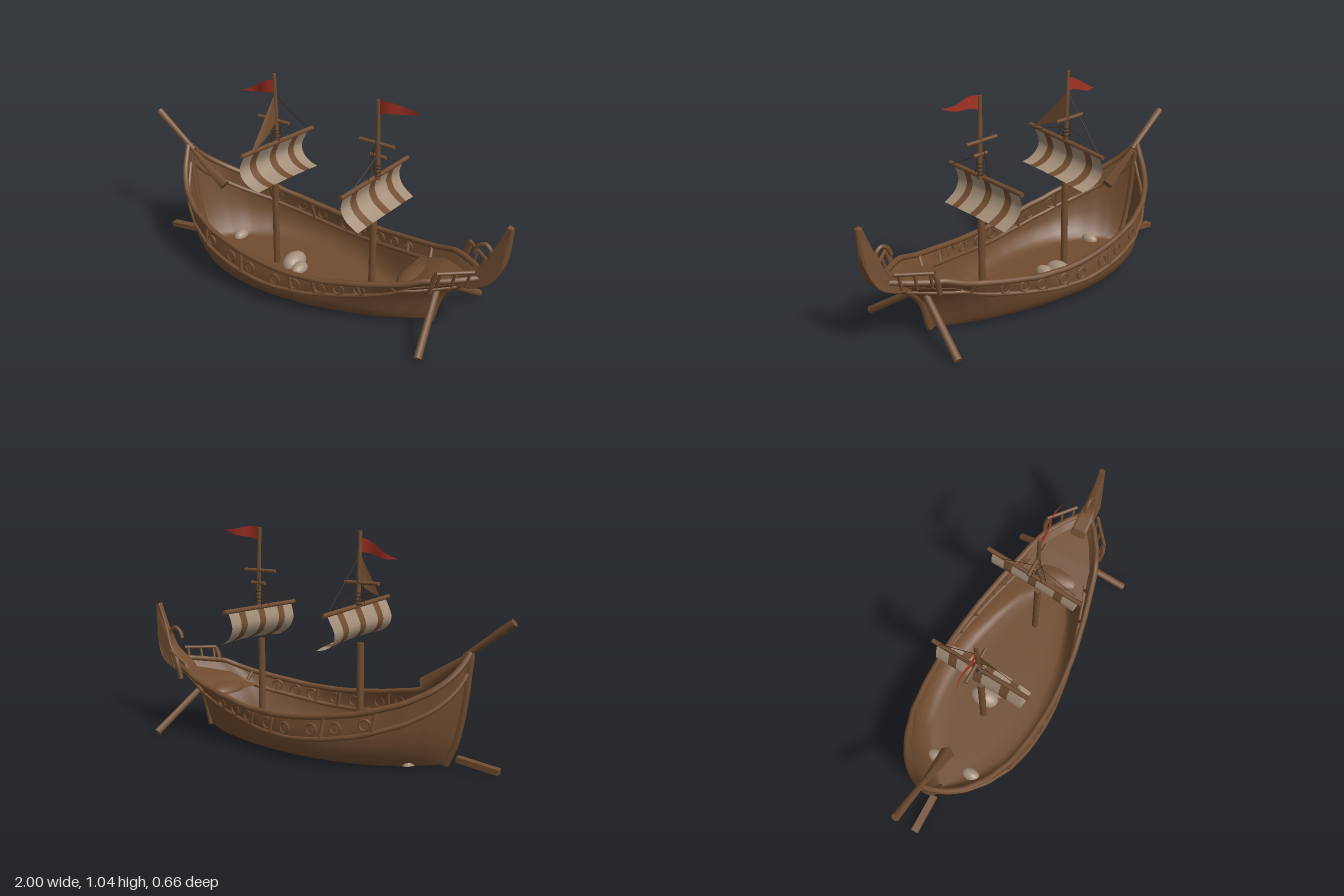
import * as THREE from 'three';

const V = (x, y, z) => new THREE.Vector3(x, y, z);
const mat = (name, color) => {
  const m = new THREE.MeshStandardMaterial({ color, side: THREE.DoubleSide });
  m.name = name;
  return m;
};

// piecewise linear lookup in [[x, y], ...]
function look(table, x) {
  if (x <= table[0][0]) return table[0][1];
  for (let i = 1; i < table.length; i++) {
    const [x0, y0] = table[i - 1], [x1, y1] = table[i];
    if (x <= x1) return y0 + (y1 - y0) * (x - x0) / (x1 - x0);
  }
  return table[table.length - 1][1];
}

// grid surface from a point rule f(u, v)
function loft(f, nu, nv) {
  const pos = [], idx = [];
  for (let i = 0; i <= nu; i++) for (let j = 0; j <= nv; j++) pos.push(...f(i / nu, j / nv).toArray());
  for (let i = 0; i < nu; i++) for (let j = 0; j < nv; j++) {
    const a = i * (nv + 1) + j, b = a + nv + 1;
    idx.push(a, a + 1, b, b, a + 1, b + 1);
  }
  const g = new THREE.BufferGeometry();
  g.setAttribute('position', new THREE.Float32BufferAttribute(pos, 3));
  g.setIndex(idx);
  g.computeVertexNormals();
  return g;
}

// hull lines: sheer height, plan half width, stem and stern ends, section fullness
const SHEER = [[-0.8, 0.53], [-0.78, 0.475], [-0.75, 0.425], [-0.7, 0.378], [-0.6, 0.322], [-0.5, 0.29], [-0.4, 0.26], [-0.2, 0.225],
  [0, 0.205], [0.2, 0.213], [0.4, 0.245], [0.57, 0.28], [0.66, 0.315], [0.88, 0.335]];
const WIDTH = [[-0.8, 0.008], [-0.78, 0.05], [-0.75, 0.1], [-0.7, 0.155], [-0.6, 0.222], [-0.45, 0.277], [-0.3, 0.3], [-0.15, 0.31],
  [0, 0.308], [0.2, 0.285], [0.4, 0.242], [0.6, 0.187], [0.7, 0.145], [0.8, 0.08], [0.88, 0.01]];
const BOW = [[0, -0.69], [0.2, -0.735], [0.5, -0.77], [1, -0.8]];
const STERN = [[0, 0.635], [0.5, 0.685], [0.75, 0.77], [1, 0.88]];
const FULL = [[0, 0.74], [0.04, 0.835], [0.12, 0.91], [0.24, 0.975], [0.4, 1.02], [0.6, 1.03], [0.8, 1.01], [1, 0.98]];
const SECTION = [[0, 0], [0, 0.55], ...FULL.map(([v]) => [v, 1])];

function hullPoint(x, v, s = 1) {
  const u = (x + 0.8) / 1.68;
  const pinch = 1 - 0.5 * (1 - v) * Math.abs(2 * u - 1) ** 4;
  const x0 = look(BOW, v), x1 = look(STERN, v);
  return V(x0 + (x1 - x0) * u, 0.012 + (look(SHEER, x) - 0.012) * v, s * look(WIDTH, x) * look(FULL, v) * pinch);
}
// point on the side at a given drop below the sheer, by station
function sidePoint(x, drop, s) {
  const h = look(SHEER, x) - 0.012;
  return hullPoint(x, Math.max(0, (h - drop) / h), s);
}
// the same, by true x
function sideAt(x, drop, s) {
  let station = x;
  for (let i = 0; i < 8; i++) station += x - sidePoint(station, drop, s).x;
  return sidePoint(station, drop, s);
}

export function createModel() {
  const wood = mat('wood', 0x704c30), cloth = mat('sailCloth', 0xa48f79);
  const red = mat('flagRed', 0xa33124), rope = mat('rope', 0x3f2b1c);
  const ship = new THREE.Group();
  ship.name = 'ship';

  const add = (name, geo, m = wood, parent = ship) => {
    const mesh = new THREE.Mesh(geo, m);
    mesh.name = name;
    parent.add(mesh);
    return mesh;
  };
  const beam = (name, a, b, r0, r1 = r0, m = wood, parent = ship, sides = 10) => {
    const d = b.clone().sub(a);
    const mesh = add(name, new THREE.CylinderGeometry(r1, r0, d.length(), sides), m, parent);
    mesh.position.copy(a).addScaledVector(d, 0.5);
    mesh.quaternion.setFromUnitVectors(V(0, 1, 0), d.normalize());
    return mesh;
  };
  const tube = (name, pts, r, n = 40) =>
    add(name, new THREE.TubeGeometry(new THREE.CatmullRomCurve3(pts), n, r, 8));

  // hull shell, open at the top
  const ring = [...SECTION].reverse().map(([v, f]) => [v, f, 1])
    .concat(SECTION.slice(1).map(([v, f]) => [v, f, -1]));
  add('hull', loft((u, w) => {
    const [v, f, s] = ring[Math.round(w * (ring.length - 1))];
    const p = hullPoint(-0.8 + 0.84 * (1 - Math.cos(Math.PI * u)), v, s);
    p.z *= f;
    return p;
  }, 64, ring.length - 1));

  // rails, wales, posts and portholes on both sides
  const along = Array.from({ length: 31 }, (_, i) => -0.8 + 0.84 * (1 - Math.cos(Math.PI * i / 30)));
  for (const s of [1, -1]) {
    tube('topRail', along.map(x => sidePoint(x, 0, s)), 0.014, 90);
    tube('wale', along.map(x => sidePoint(x, 0.092, s)), 0.011, 90);
    for (const x of [-0.48, -0.24, 0.04, 0.16, 0.37, 0.52])
      beam('sidePost', sideAt(x, 0, s), sideAt(x + 0.012, 0.092, s), 0.01);
    for (const x of [-0.435, -0.3, -0.18, -0.035, 0.07, 0.195, 0.285, 0.38]) {
      const hole = add('porthole', new THREE.TorusGeometry(0.025, 0.006, 6, 18));
      hole.position.copy(sideAt(x, 0.05, s));
      hole.rotation.y = -Math.atan((sideAt(x + 0.05, 0.05, s).z - sideAt(x - 0.05, 0.05, s).z) / 0.1);
    }
  }
  tube('stemPost', [0, 0.2, 0.5, 1].map(v => hullPoint(-0.8, v, 0)), 0.018, 16);
  tube('sternPost', [0, 0.5, 0.75, 1].map(v => hullPoint(0.88, v, 0)), 0.018, 16);

  // stern deck and step
  add('sternDeck', loft((u, w) => {
    const p = sidePoint(0.52 + 0.35 * u, 0.035, 1);
    p.z *= 2 * w - 1;
    p.y -= 0.03 * (1 - u);
    return p;
  }, 10, 6));
  const step = add('sternStep', new THREE.SphereGeometry(0.1, 16, 8, 0, Math.PI * 2, 0, Math.PI / 2));
  step.scale.set(0.7, 0.45, 1.3);
  step.position.set(0.54, 0.2, 0);

  // curled tail fin with a heavy back edge
  const fin = new THREE.Shape();
  fin.moveTo(0.74, 0.26);
  fin.splineThru([[0.84, 0.28], [0.925, 0.335], [0.975, 0.45], [0.987, 0.61]].map(p => new THREE.Vector2(...p)));
  fin.lineTo(0.972, 0.615);
  fin.splineThru([[0.912, 0.47], [0.87, 0.385], [0.78, 0.32]].map(p => new THREE.Vector2(...p)));
  const finGeo = new THREE.ExtrudeGeometry(fin, { depth: 0.02, bevelSize: 0.004, bevelThickness: 0.004, bevelSegments: 2, curveSegments: 14 });
  finGeo.translate(0, 0, -0.01);
  const fp = finGeo.attributes.position;
  for (let i = 0; i < fp.count; i++)
    fp.setZ(i, fp.getZ(i) * (1 + 1.8 * THREE.MathUtils.clamp((0.5 - fp.getY(i)) / 0.15, 0, 1)));
  finGeo.computeVertexNormals();
  add('tailFin', finGeo);
  tube('tailPost', [V(0.86, 0.31, 0), V(0.925, 0.36, 0), V(0.968, 0.46, 0), V(0.983, 0.615, 0)], 0.015, 20);
  tube('curledHook', [V(0.9, 0.43, 0), V(0.9, 0.475, 0), V(0.875, 0.497, 0), V(0.84, 0.48, 0), V(0.825, 0.445, 0)], 0.01, 20);

  // stern rail and steering oars
  for (const s of [1, -1]) {
    const a = V(0.73, 0.382, s * 0.165), b = V(0.86, 0.382, s * 0.06);
    beam('sternRail', a, b, 0.009);
    for (const t of [0.1, 0.5, 0.9]) {
      const p = a.clone().lerp(b, t);
      beam('sternRailPost', p, V(p.x - 0.02, 0.3, p.z * 0.92), 0.007);
    }
    tube('railBracket', [V(0.73, 0.38, s * 0.16), V(0.715, 0.34, s * 0.165), V(0.7, 0.27, s * 0.16)], 0.012, 12);
    beam('steeringOar', V(0.667, 0.228, 0), V(0.735, 0.02, s * 0.31), 0.016, 0.019, wood, ship, 8);
  }

  // bowsprit, bow brace and loose plank
  beam('bowsprit', V(-0.77, 0.51, 0), V(-0.99, 0.675, 0), 0.014, 0.019);
  beam('bowBrace', V(-0.79, 0.515, 0), V(-0.575, 0.36, 0), 0.012, 0.035, wood, ship, 4);
  const plank = add('loosePlank', new THREE.BoxGeometry(0.2, 0.026, 0.035));
  plank.position.set(-0.845, 0.033, 0);
  plank.rotation.z = 0.14;

  // heaps of torn cloth on the floor
  for (const [x, z, r] of [[-0.17, -0.04, 0.065], [-0.11, 0, 0.045], [-0.56, -0.1, 0.04], [-0.56, 0.1, 0.04]]) {
    const heap = add('clothHeap', new THREE.SphereGeometry(r, 14, 6, 0, Math.PI * 2, 0, Math.PI / 2), cloth);
    heap.scale.set(0.8, 0.8, 1.2);
    heap.position.set(x, 0.018, z);
  }

  // masts, crosstrees and rigging bands
  const rigs = [
    { x: -0.25, low: 0.52, high: 0.68, trees: [[0.8, -0.35, -0.17]], yard: [-0.235, 0.692, -0.01], tilt: -0.07,
      cut: [[0, 0], [-0.03, -0.06], [-0.037, -0.1], [-0.015, -0.14], [0.03, -0.165], [0.075, -0.172]],
      flag: { hoist: [1.005, 0.94], tip: [-0.19, 0.915] } },
    { x: 0.312, low: 0.49, high: 0.65, trees: [[0.827, 0.22, 0.4], [0.765, 0.28, 0.36]], yard: [0.303, 0.65, -0.02], tilt: 0,
      cut: [[0, 0], [-0.018, -0.05], [-0.02, -0.085], [0, -0.125], [0.035, -0.152], [0.068, -0.17]],
      flag: { hoist: [1.035, 0.97], tip: [0.218, 1.02] } },
  ];
  const cuts = [0.235, 0.165, 0.12, 0.02, -0.025, -0.12, -0.165, -0.235];
  for (const r of rigs) {
    beam('lowerMast', V(r.x, 0.015, 0), V(r.x, r.low, 0), 0.017);
    beam('upperMast', V(r.x + 0.01, r.high, -0.01), V(r.x, 1.035, -0.01), 0.012, 0.009);
    for (const [y, a, b] of r.trees) beam('crosstree', V(a, y, -0.012), V(b, y, -0.012), 0.009);
    for (let i = 0; i < 4; i++) {
      const band = add('mastBand', new THREE.TorusGeometry(0.014, 0.003, 6, 12), rope);
      band.rotation.x = Math.PI / 2;
      band.position.set(r.x + 0.008, r.high + 0.02 + i * 0.018, -0.01);
    }

    // yard with striped, billowing sail
    const rig = new THREE.Group();
    rig.name = 'squareSail';
    rig.position.set(...r.yard);
    rig.rotation.set(r.tilt, -0.08, 0);
    ship.add(rig);
    beam('yard', V(0, 0, -0.262), V(0, 0, 0.262), 0.011, 0.011, wood, rig);
    const curve = new THREE.SplineCurve(r.cut.map(p => new THREE.Vector2(...p)));
    for (let i = 0; i < 7; i++) {
      add(i % 2 ? 'sailStripe' : 'sailPanel', loft((u, v) => {
        const z = cuts[i] + (cuts[i + 1] - cuts[i]) * u, p = curve.getPoint(v);
        const belly = 1 - (z / 0.235) ** 2;
        return V(p.x + 0.008 * belly * v, p.y + 0.01 * belly * v, z * (1 - 0.06 * v));
      }, 4, 14), i % 2 ? wood : cloth, rig);
    }

    // stays from mast to yard
    const line = (a, b) => beam('stay', a, b, 0.0015, 0.0015, rope, ship, 5);
    const [yx, yy] = r.yard;
    for (const s of [1, -1]) {
      line(V(r.x, 0.76, -0.01), V(yx, yy + 0.01, s * 0.2));
      line(V(r.x, 0.87, -0.01), V(yx, yy, s * 0.045));
      line(V(r.x - 0.02, 0.8, -0.01), V(yx - 0.015, yy, s * 0.03));
    }

    // pennant, broad before its point
    const { hoist: [top, bottom], tip: [dx, ty] } = r.flag;
    const mid = (top + bottom) / 2;
    add('pennant', loft((u, v) => {
      const half = (top - bottom) * (0.5 - v) * (1 - u ** 1.5);
      return V(r.x + dx * u, mid + (ty - mid) * u + half + 0.005 * Math.sin(u * 6.3), -0.01 + 0.008 * Math.sin(u * 7));
    }, 14, 2), red);
  }

  // triangular sail on the forward mast
  const [top, outer, inner] = [V(-0.25, 0.93, -0.005), V(-0.235, 0.712, 0.205), V(-0.24, 0.795, 0)];
  add('triangularSail', loft((u, v) => {
    const p = top.clone().lerp(outer.clone().lerp(inner, v), u);
    p.x += 0.012 * Math.sin(Math.PI * v) * u;
    return p;
  }, 8, 6));
  beam('foreStay', V(-0.25, 0.93, -0.01), V(-0.22, 0.69, -0.23), 0.0015, 0.0015, rope, ship, 5);

  return ship;
}
